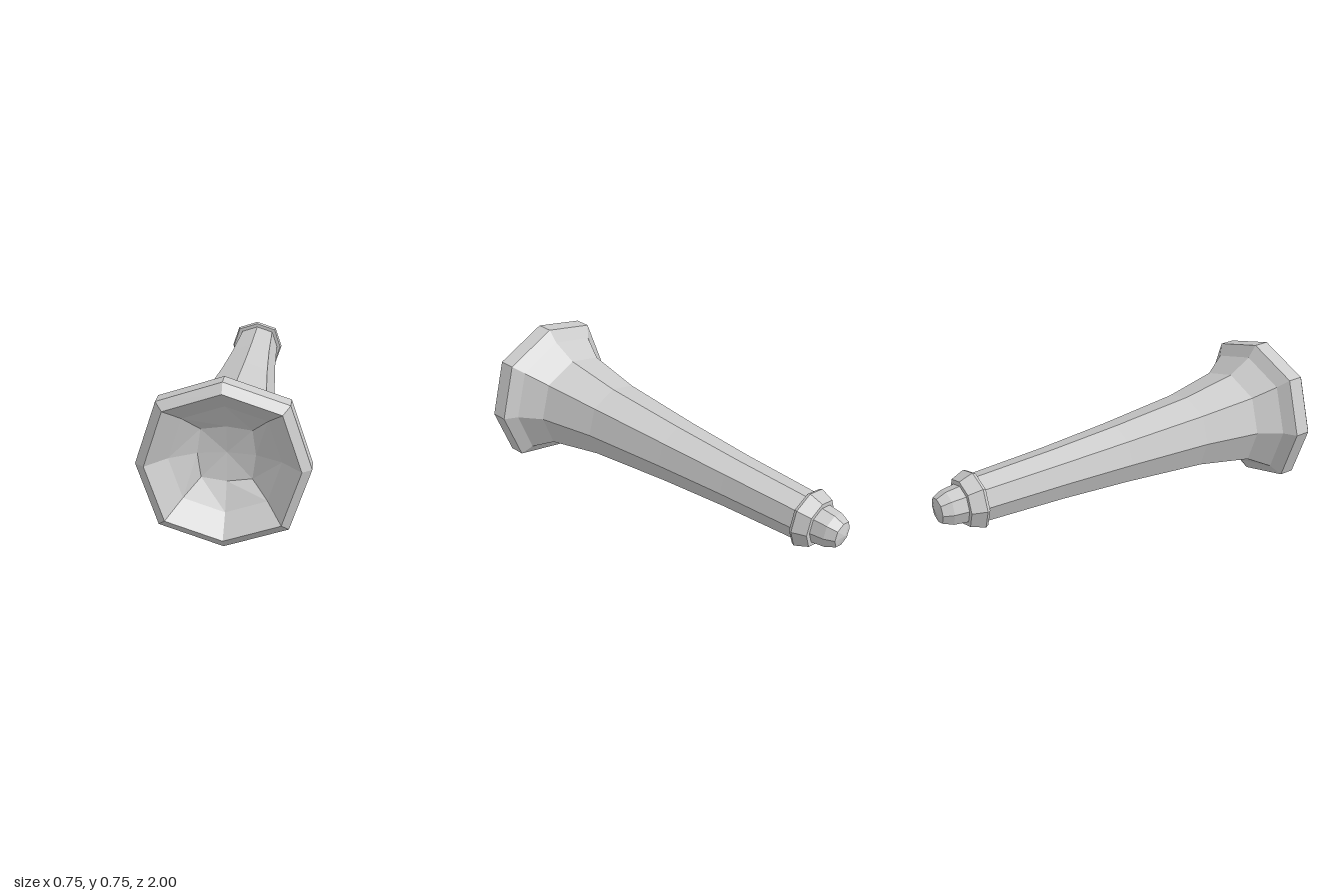
import * as THREE from 'three';

const SIDES = 8;
const AXIS_HEIGHT = 0.375;

// Octagonal loft along z. Profile entries are [radius, z, corner], where
// corner is the x and y offset of the diagonal vertices relative to radius.
function octagonLoft(name, profile, material) {
  const points = profile.map(([r, z]) => new THREE.Vector2(r, z));
  const lathe = new THREE.LatheGeometry(points, SIDES);
  const pos = lathe.attributes.position;
  for (let s = 0; s <= SIDES; s++) {
    if (s % 2 === 0) continue;
    profile.forEach(([, , corner = 0.75], j) => {
      const i = s * profile.length + j;
      const k = corner * Math.SQRT2;
      pos.setXYZ(i, pos.getX(i) * k, pos.getY(i), pos.getZ(i) * k);
    });
  }
  lathe.rotateX(Math.PI / 2);
  const geometry = lathe.toNonIndexed();
  geometry.computeVertexNormals();
  const mesh = new THREE.Mesh(geometry, material);
  mesh.name = name;
  mesh.position.y = AXIS_HEIGHT;
  return mesh;
}

export function createModel() {
  const group = new THREE.Group();
  group.name = 'flaredHorn';
  const grey = new THREE.MeshStandardMaterial({ color: 0xcccccc, flatShading: true });

  // Tapering tube that flares into the thick bell rim
  group.add(octagonLoft('hornBody', [
    [0.113, -0.80], [0.13, -0.37], [0.153, 0.0], [0.19, 0.44],
    [0.243, 0.73], [0.315, 0.845], [0.375, 0.888], [0.375, 0.965], [0.333, 1.0],
  ], grey));

  // Shallow hollow inside the bell
  group.add(octagonLoft('bellCavity', [
    [0.333, 1.0], [0.245, 0.9], [0.128, 0.83, 0.88], [0, 0.81],
  ], grey));

  // Tapered collar at the narrow end
  group.add(octagonLoft('collar', [
    [0, -0.865], [0.115, -0.865], [0.14, -0.795], [0.133, -0.78], [0.1, -0.78],
  ], grey));

  // Rounded mouthpiece knob
  group.add(octagonLoft('mouthpiece', [
    [0, -1.0], [0.062, -0.985], [0.083, -0.935], [0.092, -0.86],
  ], grey));

  return group;
}
